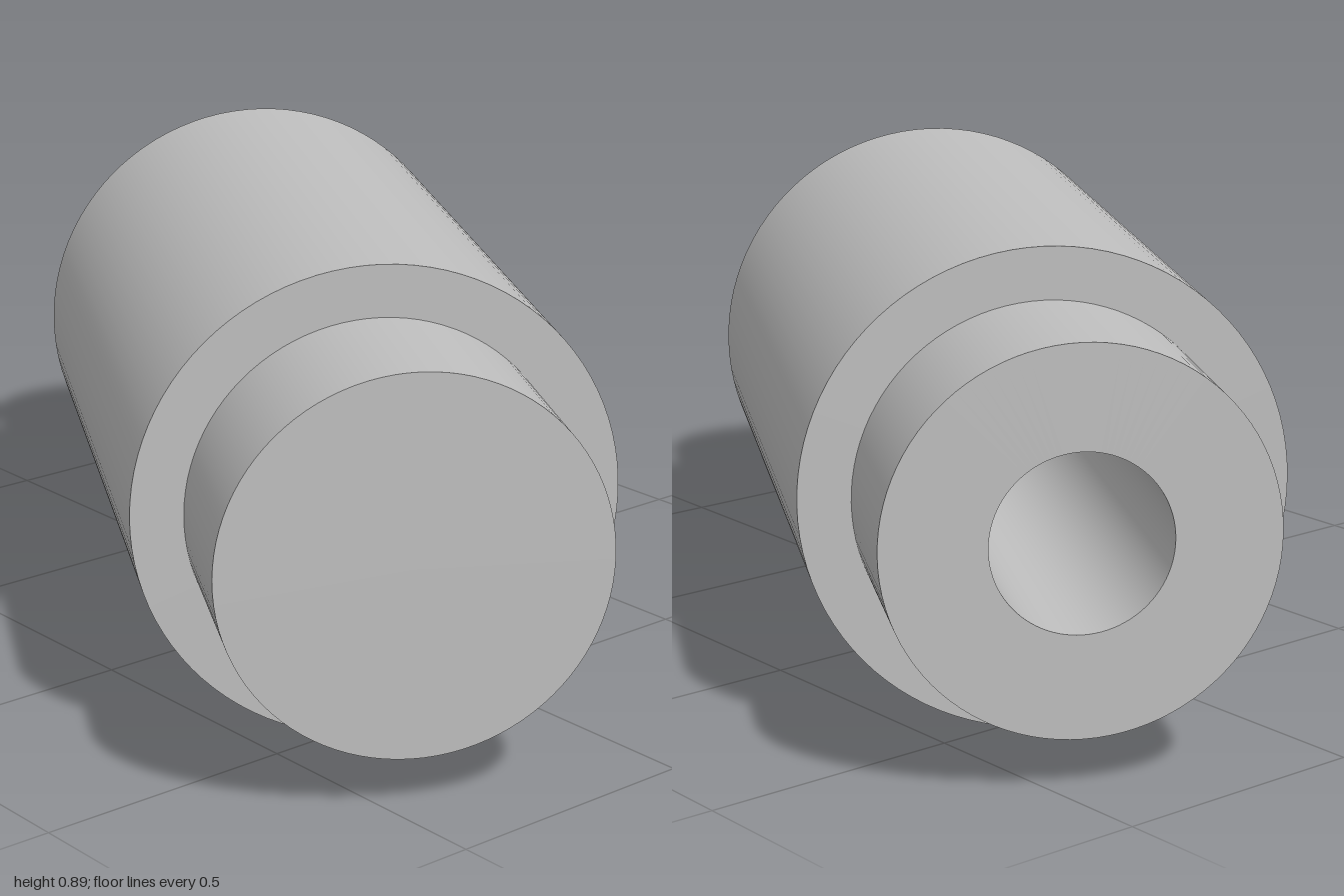
import * as THREE from 'three';

export function createModel() {
  const model = new THREE.Group();
  model.name = 'steppedShaft';

  const grey = new THREE.MeshStandardMaterial({ color: 0xbfbfbf });
  grey.name = 'plainGrey';

  const bodyRadius = 0.443, bodyHalf = 0.63;
  const endRadius = 0.347, endHalf = 0.952;
  const boreRadius = 0.16, boreDepth = 1.2;

  // One revolved mesh per surface keeps every edge sharp.
  const surface = (name, r0, y0, r1, y1) => {
    const profile = [new THREE.Vector2(r0, y0), new THREE.Vector2(r1, y1)];
    const mesh = new THREE.Mesh(new THREE.LatheGeometry(profile, 96), grey);
    mesh.name = name;
    model.add(mesh);
  };

  // Blind bore in the rear end
  surface('boreFloor', 0, boreDepth - endHalf, boreRadius, boreDepth - endHalf);
  surface('boreWall', boreRadius, boreDepth - endHalf, boreRadius, -endHalf);

  // Rear journal
  surface('rearFace', boreRadius, -endHalf, endRadius, -endHalf);
  surface('rearJournal', endRadius, -endHalf, endRadius, -bodyHalf);

  // Thick middle barrel with its shoulders
  surface('rearShoulder', endRadius, -bodyHalf, bodyRadius, -bodyHalf);
  surface('barrel', bodyRadius, -bodyHalf, bodyRadius, bodyHalf);
  surface('frontShoulder', bodyRadius, bodyHalf, endRadius, bodyHalf);

  // Front journal with a solid end
  surface('frontJournal', endRadius, bodyHalf, endRadius, endHalf);
  surface('frontFace', endRadius, endHalf, 0, endHalf);

  // Lay the shaft down, turned towards the front on its left side
  const turn = THREE.MathUtils.degToRad(29.3);
  const axis = new THREE.Vector3(Math.cos(turn), 0, Math.sin(turn));
  model.quaternion.setFromUnitVectors(new THREE.Vector3(0, 1, 0), axis);
  model.position.y = bodyRadius;

  const root = new THREE.Group();
  root.name = 'shaft';
  root.add(model);
  return root;
}
